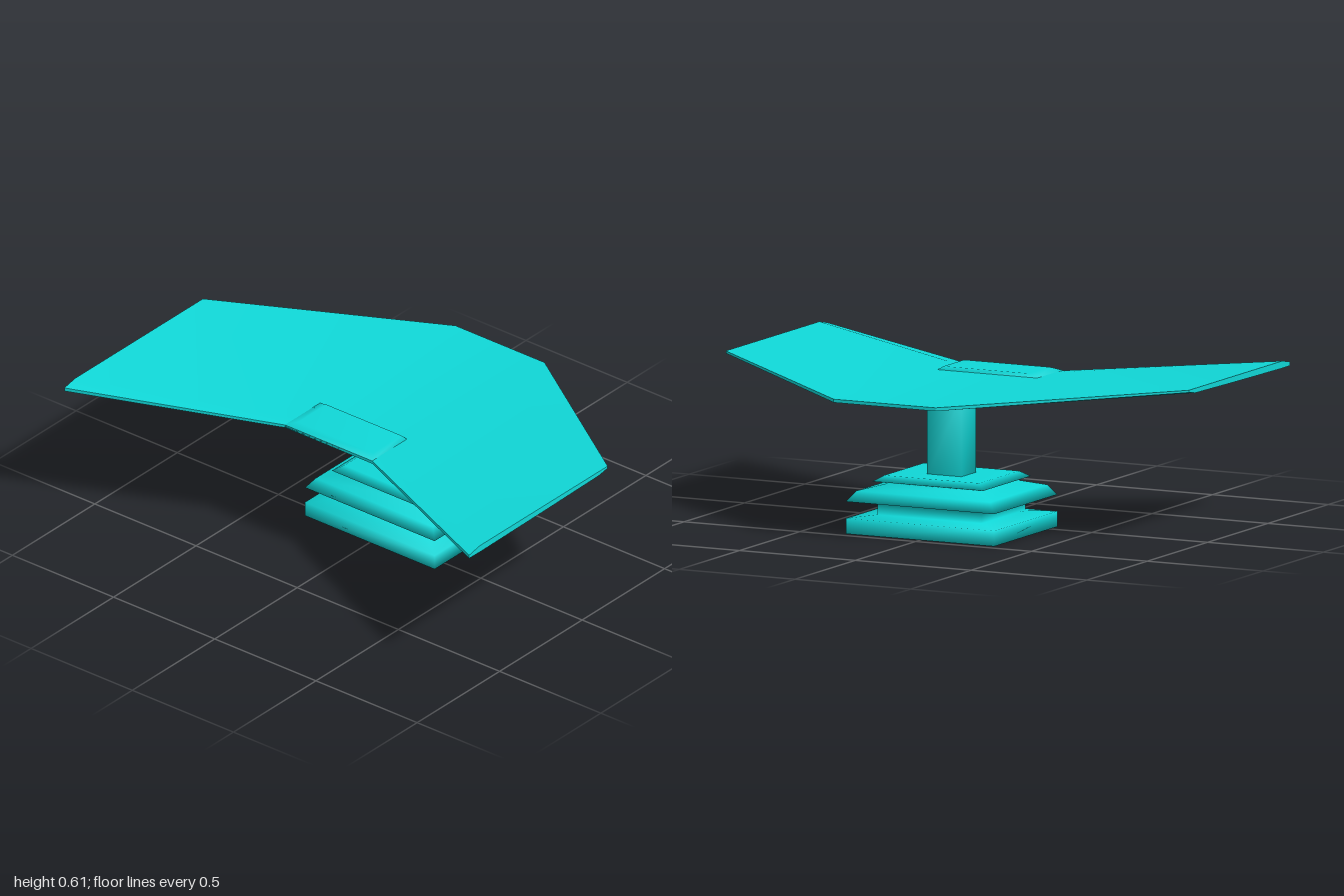
import * as THREE from 'three';
import { toCreasedNormals } from 'three/addons/utils/BufferGeometryUtils.js';

const material = new THREE.MeshStandardMaterial({ color: 0x10d8d8 });

// Skin a row of equal-sized rings and close both ends.
// Each ring runs counter-clockwise seen from the end it advances towards.
function loft(rings) {
  const n = rings[0].length;
  const last = (rings.length - 1) * n;
  const index = [];
  for (let i = 0; i < rings.length - 1; i++) {
    for (let j = 0; j < n; j++) {
      const a = i * n + j, b = i * n + (j + 1) % n;
      index.push(a, b, b + n, a, b + n, a + n);
    }
  }
  for (let j = 1; j < n - 1; j++) {
    index.push(0, j + 1, j, last, last + j, last + j + 1);
  }
  const geometry = new THREE.BufferGeometry();
  geometry.setAttribute('position', new THREE.Float32BufferAttribute(rings.flat(2), 3));
  geometry.setIndex(index);
  geometry.computeVertexNormals();
  return geometry;
}

// Level rectangular ring around (cx, cz)
const rect = (cx, cz, y, hx, hz) => [
  [cx - hx, y, cz + hz], [cx + hx, y, cz + hz],
  [cx + hx, y, cz - hz], [cx - hx, y, cz - hz],
];

// Swept, slightly raised panel: thin sections at the tips and the centre
function panelGeometry() {
  const tip = (z) => [
    [-0.62, 0.585, z], [-0.2, 0.59, z], [0.1, 0.595, z], [0.155, 0.604, z],
    [0.155, 0.613, z], [-0.62, 0.613, z], [-0.685, 0.6, z], [-0.685, 0.586, z],
  ];
  const centre = (trailZ, leadZ) => [
    [-0.29, 0.546, trailZ], [0.15, 0.52, (trailZ + leadZ) / 2],
    [0.27, 0.52, (trailZ + leadZ) / 2], [0.68, 0.546, leadZ],
    [0.68, 0.559, leadZ], [-0.26, 0.562, trailZ],
    [-0.315, 0.56, trailZ], [-0.315, 0.548, trailZ],
  ];
  const rings = [tip(-1), centre(-0.21, -0.18), centre(0.22, 0.26), tip(1)];
  return toCreasedNormals(loft(rings), 0.35);
}

export function createModel() {
  const model = new THREE.Group();
  const add = (name, geometry) => {
    const mesh = new THREE.Mesh(geometry, material);
    mesh.name = name;
    model.add(mesh);
  };

  // Stepped pedestal: height, half width, half depth
  const steps = [
    [0, 0.262, 0.32], [0.06, 0.262, 0.32], [0.07, 0.182, 0.225],
    [0.115, 0.182, 0.225], [0.125, 0.262, 0.32], [0.165, 0.235, 0.29],
    [0.19, 0.15, 0.195], [0.2, 0.197, 0.24], [0.222, 0.165, 0.205],
  ];
  add('pedestal', loft(steps.map(([y, hx, hz]) => rect(0.202, 0, y, hx, hz))));

  // Square column between pedestal and panel
  add('column', loft([rect(0.202, 0, 0.21, 0.061, 0.074), rect(0.202, 0, 0.535, 0.061, 0.074)]));

  add('panel', panelGeometry());

  // Low bevelled pad on the inner edge of the panel
  add('pad', loft([
    rect(-0.21, 0.005, 0.55, 0.105, 0.215),
    rect(-0.21, 0.005, 0.562, 0.105, 0.215),
    rect(-0.2, 0.015, 0.575, 0.085, 0.185),
  ]));

  return model;
}
